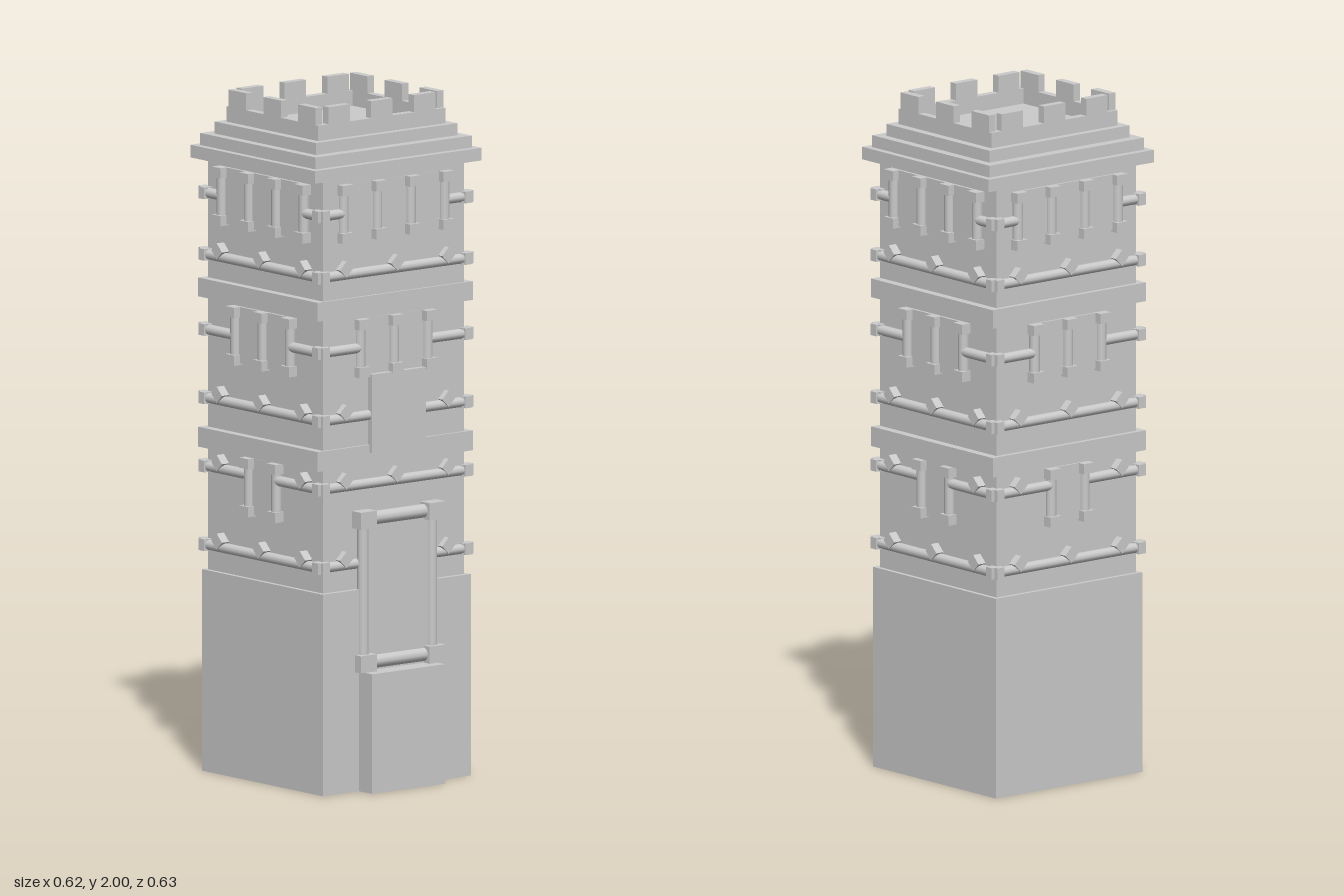
import * as THREE from 'three';

const mat = new THREE.MeshStandardMaterial({ color: 0xcccccc, side: THREE.DoubleSide });
const CZ = -0.025; // depth centre of the tower

function add(parent, name, geo, x = 0, y = 0, z = 0) {
  const m = new THREE.Mesh(geo, mat);
  m.name = name;
  m.position.set(x, y, z);
  parent.add(m);
  return m;
}

// Box given by its limits
function block(parent, name, x0, x1, y0, y1, z0, z1) {
  const geo = new THREE.BoxGeometry(x1 - x0, y1 - y0, z1 - z0);
  return add(parent, name, geo, (x0 + x1) / 2, (y0 + y1) / 2, (z0 + z1) / 2);
}

// Box without its underside
function shell(parent, name, ...limits) {
  const m = block(parent, name, ...limits);
  const index = Array.from(m.geometry.index.array);
  index.splice(18, 6);
  m.geometry.setIndex(index);
  m.geometry.clearGroups();
  return m;
}

// Rounded bar lying along x, or standing along y
function rail(parent, name, x0, x1, y, z, r = 0.015) {
  const m = add(parent, name, new THREE.CylinderGeometry(r, r, x1 - x0, 10), (x0 + x1) / 2, y, z);
  m.rotation.z = Math.PI / 2;
}
function post(parent, name, x, y0, y1, z, r = 0.016) {
  add(parent, name, new THREE.CylinderGeometry(r, r, y1 - y0, 10), x, (y0 + y1) / 2, z);
}

// Window with n posts, built on the plane z = 0
function windowBay(parent, n, y0, y1) {
  const g = new THREE.Group();
  g.name = 'window';
  parent.add(g);
  const half = (n - 1) * 0.0625;
  block(g, 'windowPane', -half, half, y0 + 0.005, y1, -0.02, 0.004);
  for (let i = 0; i < n; i++) {
    const x = -half + i * 0.125;
    post(g, 'windowPost', x, y0 + 0.01, y1 - 0.01, 0.004);
    for (const y of [y0, y1 - 0.03]) block(g, 'postBlock', x - 0.02, x + 0.02, y, y + 0.03, -0.02, 0.026);
  }
}

// Horizontal rail across a face, broken by a gap and set with diamond studs
function course(parent, y, half, gap, studs) {
  if (gap) {
    rail(parent, 'rail', -half, -gap, y, 0.004);
    rail(parent, 'rail', gap, half, y, 0.004);
  } else rail(parent, 'rail', -half, half, y, 0.004);
  for (const s of [-1, 1]) block(parent, 'railEnd', s * half - 0.013, s * half + 0.013, y - 0.017, y + 0.017, -0.02, 0.022);
  if (!studs) return;
  for (const x of [-0.19, 0, 0.19]) {
    if (Math.abs(x) < gap) continue;
    add(parent, 'diamondStud', new THREE.BoxGeometry(0.034, 0.034, 0.04), x, y + 0.018, 0.002).rotation.z = Math.PI / 4;
  }
}

export function createModel() {
  const tower = new THREE.Group();
  tower.name = 'tower';

  // Hollow base and front step
  shell(tower, 'base', -0.275, 0.275, 0, 0.59, CZ - 0.275, CZ + 0.278);
  shell(tower, 'frontStep', -0.14, 0.132, 0, 0.35, 0.24, 0.312);

  // Shaft with the bands between storeys
  block(tower, 'shaft', -0.262, 0.262, 0.585, 1.81, -0.287, 0.238);
  for (const [y0, y1] of [[0.95, 1.008], [1.39, 1.445]]) {
    block(tower, 'storeyBand', -0.288, 0.288, y0, y1, -0.302, 0.246);
  }

  // Four decorated faces: angle, distance from the shaft centre, half width
  const faces = [
    ['front', 0, 0.235 - CZ, 0.265],
    ['left', Math.PI / 2, 0.267, 0.26],
    ['back', Math.PI, 0.265, 0.265],
    ['right', -Math.PI / 2, 0.267, 0.26],
  ];
  for (const [name, angle, d, half] of faces) {
    const face = new THREE.Group();
    face.name = name + 'Face';
    face.position.set(Math.sin(angle) * d, 0, CZ + Math.cos(angle) * d);
    face.rotation.y = angle;
    tower.add(face);
    const front = name === 'front';
    course(face, 0.665, half, front ? 0.13 : 0, true);
    course(face, 0.895, half, front ? 0 : 0.0625, true);
    course(face, 1.095, half, front ? 0.095 : 0, true);
    course(face, 1.295, half, 0.125, false);
    course(face, 1.515, half, 0, true);
    course(face, 1.695, half, 0.1875, false);
    if (!front) windowBay(face, 2, 0.775, 0.945);
    windowBay(face, 3, 1.21, 1.38);
    windowBay(face, 4, 1.61, 1.78);
  }

  // Tall door with its frame, and the blank panel above
  const door = new THREE.Group();
  door.name = 'door';
  tower.add(door);
  block(door, 'doorPanel', -0.125, 0.13, 0.36, 0.8, 0.22, 0.256);
  for (const x of [-0.125, 0.13]) {
    post(door, 'doorPost', x, 0.37, 0.8, 0.252, 0.017);
    for (const y of [0.35, 0.77]) block(door, 'frameBlock', x - 0.03, x + 0.03, y, y + 0.05, 0.23, 0.28);
  }
  for (const y of [0.375, 0.795]) rail(door, 'doorRail', -0.12, 0.125, y, 0.252, 0.02);
  block(tower, 'frontPanel', -0.095, 0.105, 0.985, 1.215, 0.22, 0.257);

  // Stepped cornice
  const steps = [[0.31, 0.285, 1.798, 1.835], [0.29, 0.264, 1.835, 1.87], [0.263, 0.232, 1.87, 1.905]];
  for (const [hx, hz, y0, y1] of steps) {
    block(tower, 'corniceStep', -hx, hx, y0, y1, CZ - hz, CZ + hz);
  }

  // Parapet wall around the roof
  const X = 0.237, Z = 0.21, T = 0.024;
  for (const s of [-1, 1]) {
    const a = s * X, b = s * (X - T), c = CZ + s * Z, e = CZ + s * (Z - T);
    const xs = [Math.min(a, b), Math.max(a, b)], zs = [Math.min(c, e), Math.max(c, e)];
    block(tower, 'parapetWall', -X, X, 1.9, 1.95, ...zs);
    block(tower, 'parapetWall', ...xs, 1.9, 1.95, CZ - Z + T, CZ + Z - T);
    // Three merlons on each wall
    for (const i of [-1, 0, 1]) {
      const x = i * 0.159, z = CZ + i * 0.159;
      block(tower, 'merlon', x - 0.04, x + 0.04, 1.95, 2, ...zs);
      block(tower, 'merlon', ...xs, 1.95, 2, z - 0.04, z + 0.04);
    }
  }
  return tower;
}
